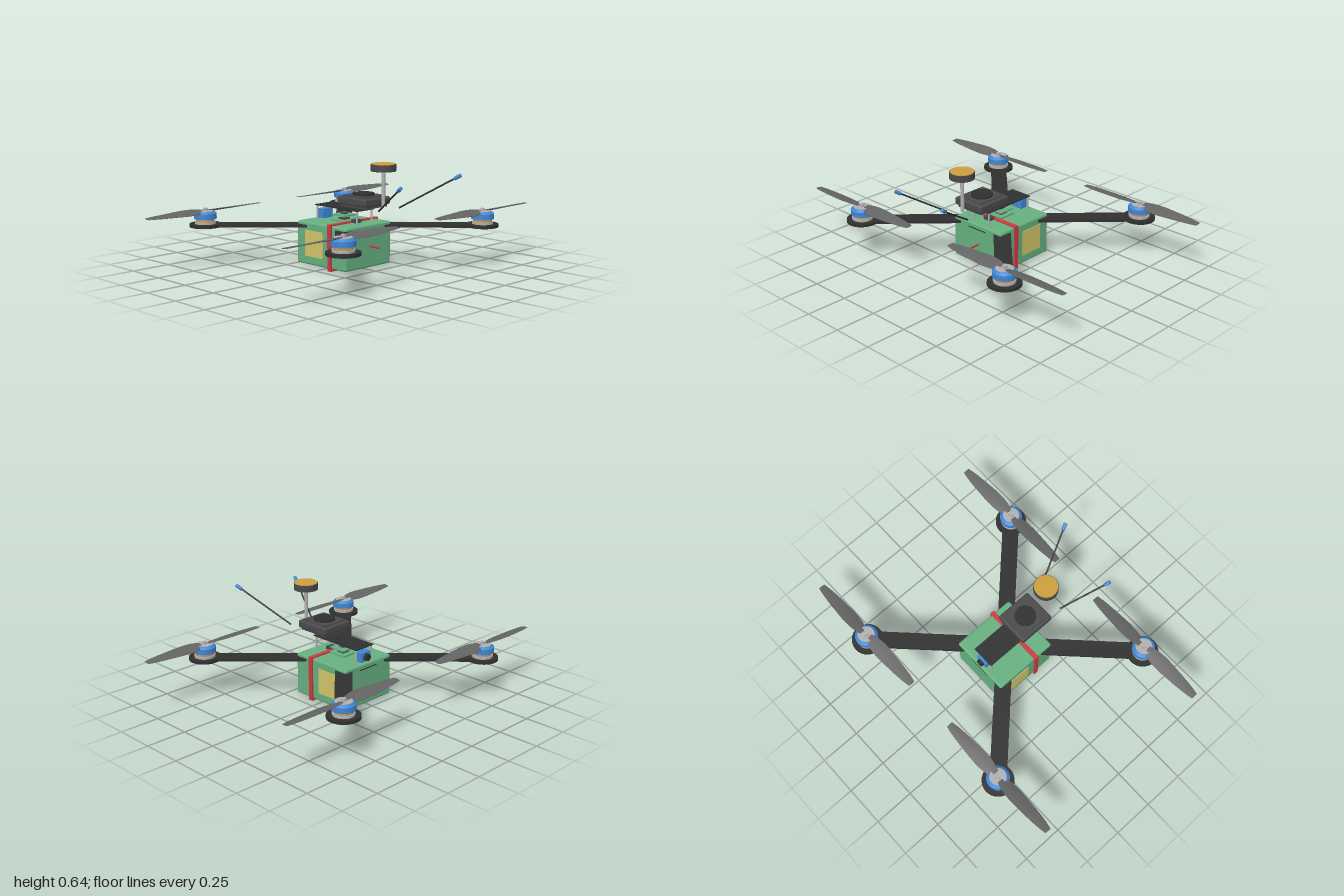
import * as THREE from 'three';
import { RoundedBoxGeometry } from 'three/addons/geometries/RoundedBoxGeometry.js';

const mat = (name, color) => Object.assign(new THREE.MeshStandardMaterial({ color }), { name });

export function createModel() {
  const green = mat('shell green', 0x66b080);
  const carbon = mat('carbon black', 0x303030);
  const grey = mat('dark grey', 0x4a4a4c);
  const propGrey = mat('propeller grey', 0x646464);
  const blue = mat('anodised blue', 0x3f87d6);
  const red = mat('strap red', 0xcc3a40);
  const gold = mat('antenna gold', 0xcc9e3e);
  const yellow = mat('label yellow', 0xd2c46a);
  const metal = mat('light metal', 0xb0b0b0);
  const copper = mat('copper', 0xc8965a);

  const model = new THREE.Group();
  model.name = 'quadcopter';

  const add = (name, geo, material, x = 0, y = 0, z = 0, parent = model) => {
    const m = new THREE.Mesh(geo, material);
    m.name = name;
    m.position.set(x, y, z);
    parent.add(m);
    return m;
  };
  const box = (w, h, d) => new THREE.BoxGeometry(w, h, d);
  const cyl = (r, h, n = 32, rTop = r) => new THREE.CylinderGeometry(rTop, r, h, n);
  // round bar between two points
  const bar = (name, a, b, r, material) => {
    const d = b.clone().sub(a);
    const m = add(name, cyl(r, d.length(), 12), material);
    m.position.copy(a).add(b).multiplyScalar(0.5);
    m.quaternion.setFromUnitVectors(new THREE.Vector3(0, 1, 0), d.normalize());
  };

  // Body shell and side labels
  const cz = -0.011;
  add('bodyShell', new RoundedBoxGeometry(0.38, 0.256, 0.41, 3, 0.012), green, 0, 0.14, cz);
  for (const s of [-1, 1]) add('sideLabel', box(0.006, 0.156, 0.15), yellow, s * 0.191, 0.142, -0.07);
  add('lowerPlate', box(0.14, 0.006, 0.412), carbon, 0, 0.236, cz);

  // Strap looped around the body
  const loop = new THREE.Shape();
  const rect = (p, w, y0, y1) => p.moveTo(-w, y0).lineTo(w, y0).lineTo(w, y1).lineTo(-w, y1).closePath();
  rect(loop, 0.2, 0, 0.276);
  const hole = new THREE.Path();
  rect(hole, 0.188, 0.013, 0.266);
  loop.holes.push(hole);
  add('strap', new THREE.ExtrudeGeometry(loop, { depth: 0.028, bevelEnabled: false }), red, 0, 0, 0.053);
  add('strapBuckle', box(0.05, 0.02, 0.04), grey, 0, 0.278, 0.092);
  const lead = add('powerLead', cyl(0.006, 0.08, 12), red, 0.01, 0.14, 0.23);
  lead.rotation.x = Math.PI / 2;

  // Blade: a box reshaped by chord, thickness and twist along its length
  const blade = (hand) => {
    const chord = [0.05, 0.076, 0.088, 0.09, 0.086, 0.08, 0.074, 0.066, 0.056, 0.04];
    const g = new THREE.BoxGeometry(1, 1, 1, chord.length - 1, 1, 4);
    const p = g.attributes.position;
    for (let i = 0; i < p.count; i++) {
      const t = p.getX(i) + 0.5;
      const u = p.getZ(i);
      const c = chord[Math.round(t * (chord.length - 1))];
      const h = p.getY(i) * (0.009 - 0.005 * t) * (1.3 - 2 * Math.abs(u));
      const a = hand * (0.3 - 0.2 * t);
      const z = u * c;
      p.setXYZ(i, 0.025 + 0.392 * t, h * Math.cos(a) + z * Math.sin(a), z * Math.cos(a) - h * Math.sin(a));
    }
    g.computeVertexNormals();
    return g;
  };

  // Arms, motors and propellers at the four corners
  const reach = 0.584;
  for (const sx of [-1, 1]) for (const sz of [-1, 1]) {
    const corner = new THREE.Group();
    corner.name = (sz > 0 ? 'front' : 'rear') + (sx > 0 ? 'Left' : 'Right') + 'Arm';
    corner.position.set(sx * reach, 0, cz + sz * reach);
    model.add(corner);

    const len = 0.68;
    const off = -len / 2 / Math.SQRT2;
    const arm = add('armBeam', box(len, 0.016, 0.1), carbon, sx * off, 0.241, sz * off, corner);
    arm.rotation.y = -sx * sz * Math.PI / 4;
    add('motorMount', cyl(0.095, 0.018), carbon, 0, 0.241, 0, corner);
    add('motorBase', cyl(0.063, 0.014), metal, 0, 0.257, 0, corner);
    add('motorWindings', cyl(0.055, 0.022), copper, 0, 0.273, 0, corner);
    add('motorBell', cyl(0.068, 0.032), blue, 0, 0.297, 0, corner);
    add('motorBellTop', cyl(0.068, 0.012, 32, 0.054), blue, 0, 0.319, 0, corner);
    add('motorCap', cyl(0.05, 0.004), metal, 0, 0.326, 0, corner);
    add('propellerHub', cyl(0.014, 0.026, 16), metal, 0, 0.33, 0, corner);

    const prop = new THREE.Group();
    prop.name = 'propeller';
    prop.position.y = 0.326;
    corner.add(prop);
    for (const turn of [0, Math.PI]) {
      add('blade', blade(sx * sz), propGrey, 0, 0, 0, prop).rotation.y = turn;
    }
  }

  // Top deck on four standoffs, with the circuit boards below
  add('topPlate', box(0.144, 0.006, 0.355), carbon, 0, 0.352, -0.008);
  for (const x of [-0.062, 0.062]) for (const z of [0.158, -0.175]) {
    add('standoff', cyl(0.006, 0.085, 12), metal, x, 0.309, z);
  }
  add('speedController', box(0.11, 0.012, 0.116), green, 0, 0.272, -0.008);
  add('controllerChip', box(0.05, 0.01, 0.05), grey, 0, 0.282, -0.008);
  add('flightBoard', box(0.105, 0.009, 0.105), green, 0, 0.305, -0.007);
  add('flightChip', box(0.035, 0.008, 0.035), grey, 0, 0.312, -0.007);

  // Rear camera
  add('cameraBody', box(0.076, 0.056, 0.05), blue, 0, 0.297, -0.171);
  const lens = add('cameraLens', cyl(0.022, 0.02, 20), carbon, 0, 0.297, -0.205);
  lens.rotation.x = Math.PI / 2;

  // Raised sensor box with a round cap
  const sz = 0.152;
  add('sensorLower', box(0.18, 0.02, 0.205), grey, 0, 0.384, sz);
  add('sensorHousing', new RoundedBoxGeometry(0.214, 0.046, 0.23, 2, 0.01), grey, 0, 0.411, sz);
  add('sensorLid', box(0.17, 0.01, 0.18), grey, 0, 0.436, sz);
  add('sensorCap', cyl(0.064, 0.016), carbon, 0, 0.445, sz);

  // Satellite receiver on a mast
  add('mast', cyl(0.011, 0.21, 16), metal, 0, 0.495, 0.31);
  add('receiverPuck', cyl(0.073, 0.04, 40), grey, 0, 0.616, 0.31);
  add('receiverTop', cyl(0.07, 0.004, 40), gold, 0, 0.637, 0.31);

  // Whip antennas with blue tips
  const whips = [
    [new THREE.Vector3(-0.086, 0.378, 0.355), new THREE.Vector3(-0.207, 0.55, 0.632)],
    [new THREE.Vector3(0.086, 0.378, 0.355), new THREE.Vector3(0.232, 0.585, 0.688)],
  ];
  for (const [a, b] of whips) {
    bar('antennaWhip', a, b, 0.005, carbon);
    bar('antennaTip', b.clone().lerp(a, 0.1), b, 0.011, blue);
  }
  return model;
}
